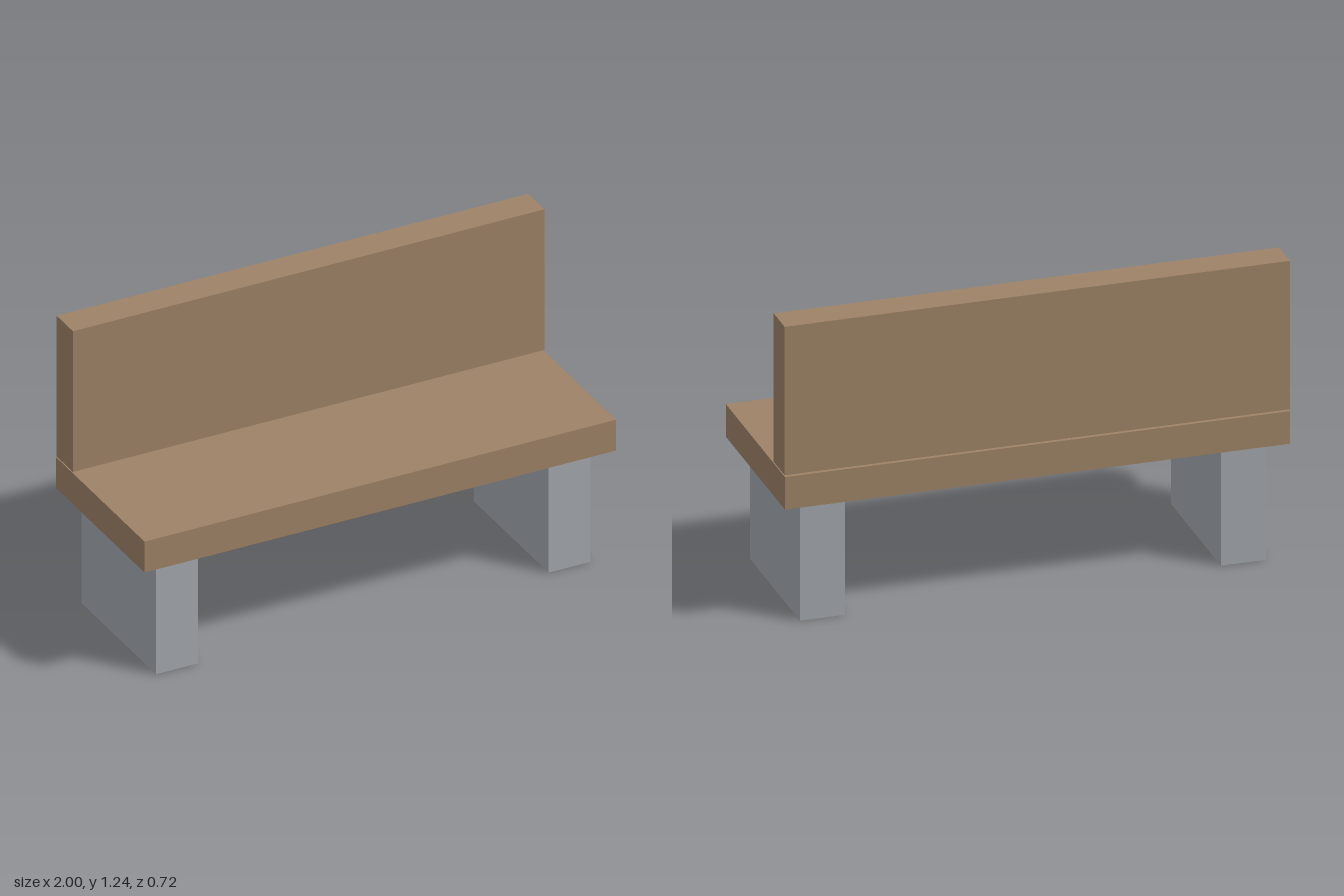
import * as THREE from 'three';

export function createModel() {
  const bench = new THREE.Group();
  bench.name = 'bench';

  const wood = new THREE.MeshStandardMaterial({ color: 0x9e8266 });
  wood.name = 'brown wood';
  const concrete = new THREE.MeshStandardMaterial({ color: 0xa3a8ae });
  concrete.name = 'grey concrete';

  // Adds a box given its size and the position of its bottom centre
  function addBlock(name, material, [w, h, d], [x, y, z]) {
    const mesh = new THREE.Mesh(new THREE.BoxGeometry(w, h, d), material);
    mesh.name = name;
    mesh.position.set(x, y + h / 2, z);
    bench.add(mesh);
  }

  // Seat plank, and a backrest standing just clear of its rear edge
  addBlock('seat', wood, [2, 0.134, 0.72], [0, 0.49, 0]);
  addBlock('backrest', wood, [2, 0.61, 0.133], [0, 0.63, -0.29]);

  // Pair of block legs
  for (const [name, side] of [['leftLeg', 1], ['rightLeg', -1]]) {
    addBlock(name, concrete, [0.178, 0.49, 0.608], [side * 0.833, 0, 0]);
  }

  return bench;
}
